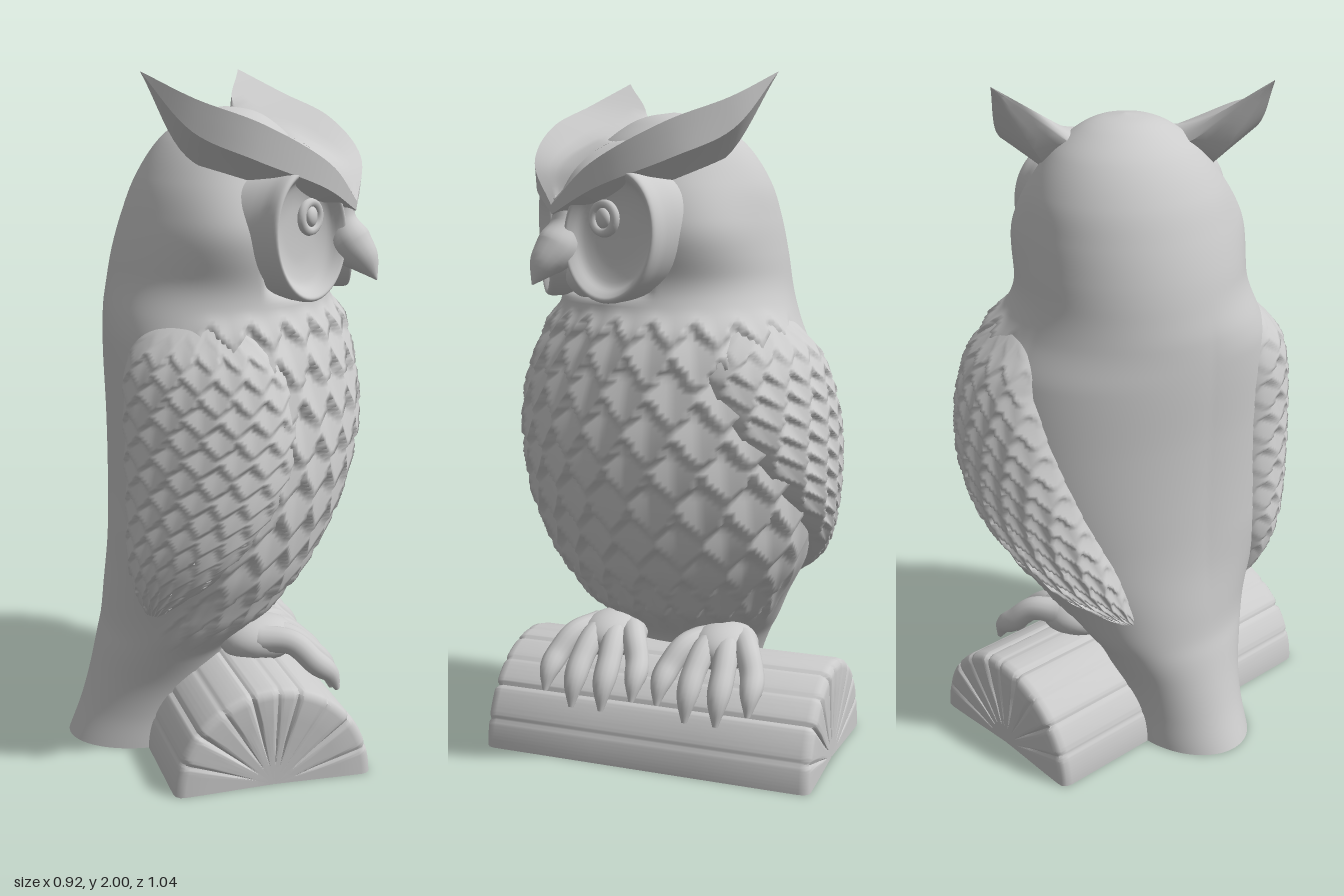
import * as THREE from 'three';
import { mergeVertices, toCreasedNormals } from 'three/addons/utils/BufferGeometryUtils.js';

const { smoothstep, lerp, clamp } = THREE.MathUtils;
const RAD = Math.PI / 180;
const grey = new THREE.MeshStandardMaterial({ color: 0xcccccc });
const greyDouble = new THREE.MeshStandardMaterial({ color: 0xcccccc, side: THREE.DoubleSide });

// Body rings: height, back x, front x, half width
const RINGS = [
  [0, -0.46, 0, 0.175], [0.1, -0.42, 0, 0.18], [0.2, -0.39, 0.015, 0.2], [0.3, -0.365, 0.04, 0.24],
  [0.36, -0.35, 0.09, 0.275], [0.45, -0.34, 0.18, 0.32], [0.6, -0.325, 0.3, 0.4], [0.8, -0.32, 0.39, 0.45],
  [1.0, -0.322, 0.425, 0.455], [1.2, -0.33, 0.405, 0.42], [1.32, -0.328, 0.37, 0.37], [1.4, -0.315, 0.34, 0.345],
  [1.5, -0.295, 0.325, 0.33], [1.6, -0.265, 0.31, 0.312], [1.7, -0.225, 0.29, 0.283], [1.8, -0.16, 0.235, 0.22],
  [1.86, -0.09, 0.17, 0.145], [1.89, -0.03, 0.11, 0.075], [1.9, 0.039, 0.041, 0.001],
];
// Wing outline: height, front angle, back angle (degrees round the body)
const WING = [
  [0.43, 128, 134], [0.6, 104, 150], [0.8, 85, 156], [1.0, 77, 158], [1.2, 80, 154], [1.3, 92, 142], [1.345, 106, 122],
];
// The head is turned: its own frame is x sideways, z forward
const HEAD = { x: 0.04, z: 0.02, turn: 0.94 };

// Smooth lookup in a table whose first column is the key
function sample(table, y) {
  const last = table.length - 1;
  let i = 0;
  while (i < last - 1 && y > table[i + 1][0]) i++;
  const slope = (k, c) => {
    const a = table[Math.max(k - 1, 0)], b = table[Math.min(k + 1, last)];
    return (b[c] - a[c]) / (b[0] - a[0]);
  };
  const p = table[i], q = table[i + 1], d = q[0] - p[0], t = (y - p[0]) / d;
  const h = t * t * (3 - 2 * t);
  return p.slice(1).map((v, k) => v * (1 - h) + q[k + 1] * h
    + d * t * (1 - t) * ((1 - t) * slope(i, k + 1) - t * slope(i + 1, k + 1)));
}

// Overlapping feathers: 0 at the root, 1 at the pointed lower edge
function feather(a, b) {
  for (let k = Math.floor(b) - 1; ; k++) {
    const s = a + (k & 1) * 0.5;
    const off = Math.abs(s - Math.round(s)) * 2;
    const edge = k + 1.35 - 0.65 * Math.pow(off, 1.35);
    if (b < edge) return Math.max(0, 1 - (edge - b) / 1.2);
  }
}

// Point on the body, pushed outward by a distance; the shoulders are twisted a little with the head
function onBody(angle, y, out = 0) {
  const [back, front, rz] = sample(RINGS, y);
  const rx = (front - back) / 2, c = Math.cos(angle), s = Math.sin(angle);
  const n = new THREE.Vector3(c / rx, 0, s / rz).normalize();
  const twist = -0.064 * s * c * smoothstep(y, 0.35, 0.7) * (1 - smoothstep(y, 1.25, 1.45));
  const reach = out + twist * (c < 0 && s < 0 ? 0.3 : 1);
  return new THREE.Vector3((back + front) / 2 + rx * c, y, rz * s).addScaledVector(n, reach);
}

function finish(geo) {
  geo.deleteAttribute('uv');
  geo.deleteAttribute('normal');
  const g = mergeVertices(geo, 1e-5);
  g.computeVertexNormals();
  return g;
}

// Surface from a rule, u and v in 0..1
function grid(rule, nu, nv) {
  const pos = [], idx = [];
  for (let j = 0; j <= nv; j++) for (let i = 0; i <= nu; i++) pos.push(...rule(i / nu, j / nv).toArray());
  for (let j = 0; j < nv; j++) for (let i = 0; i < nu; i++) {
    const a = j * (nu + 1) + i, b = a + nu + 1;
    idx.push(a, b, a + 1, a + 1, b, b + 1);
  }
  const g = new THREE.BufferGeometry();
  g.setAttribute('position', new THREE.Float32BufferAttribute(pos, 3));
  g.setIndex(idx);
  return finish(g);
}

// Tube through points with a radius at each point
function taper(points, radii, n = 24, sides = 14) {
  const curve = new THREE.CatmullRomCurve3(points.map(p => new THREE.Vector3(...p)));
  const table = radii.map((r, i) => [i / (radii.length - 1), r]);
  const g = new THREE.TubeGeometry(curve, n, 1, sides);
  const p = g.attributes.position, v = new THREE.Vector3();
  for (let i = 0; i < p.count; i++) {
    const t = Math.floor(i / (sides + 1)) / n, c = curve.getPointAt(t);
    v.fromBufferAttribute(p, i).sub(c).multiplyScalar(Math.max(0.001, sample(table, t)[0])).add(c);
    p.setXYZ(i, v.x, v.y, v.z);
  }
  return finish(g);
}

function add(parent, name, geo, mat = grey) {
  const m = new THREE.Mesh(geo, mat);
  m.name = name;
  parent.add(m);
  return m;
}

function blob(parent, name, pos, size) {
  const m = add(parent, name, new THREE.SphereGeometry(1, 28, 18));
  m.position.set(...pos);
  m.scale.set(...size);
}

// Tail, trunk and head in one skin, with chest feathers, full cheeks and a flattened face
function bodyGeometry() {
  const fx = Math.sin(HEAD.turn), fz = Math.cos(HEAD.turn), facing = Math.atan2(fz, fx);
  return grid((u, v) => {
    const a = u * 2 * Math.PI, y = 1.9 * (1 - Math.pow(1 - v, 1.25));
    const mask = smoothstep(Math.cos(a - 22 * RAD), -0.25, 0.25) * smoothstep(y, 0.33, 0.45) * (1 - smoothstep(y, 1.29, 1.36));
    const side = Math.acos(Math.cos(a - facing));
    const cheek = 0.05 * Math.exp(-(((y - 1.57) / 0.13) ** 2) - ((side - 1.1) / 0.5) ** 2);
    const p = onBody(a, y, cheek + (mask ? mask * 0.034 * feather(u * 21, (1.4 - y) / 0.107) : 0));
    const w = smoothstep(y, 1.37, 1.43) * (1 - smoothstep(y, 1.68, 1.76));
    const over = Math.max(0, (p.x - HEAD.x) * fx + (p.z - HEAD.z) * fz - 0.2) * w;
    return p.add(new THREE.Vector3(-fx * over, 0, -fz * over));
  }, 210, 170);
}

// Folded wing; the right one sits further forward at the shoulder
function wingGeometry(side) {
  return grid((u, v) => {
    const y = lerp(0.43, 1.345, v);
    let [lo, hi] = sample(WING, y);
    if (side < 0) {
      const shift = 52 * clamp((y - 0.43) / 0.75, 0, 1);
      [lo, hi] = [shift - hi, shift - lo];
    }
    const s = 2 * u - 1;
    const edge = (1 - Math.pow(s, 6)) * (1 - Math.pow(2 * v - 1, 6));
    const scale = feather(s * 3.5, (1 - v) * 16) * (1 - smoothstep(v, 0.86, 0.97));
    return onBody(lerp(lo, hi, u) * RAD, y, -0.02 + edge * (0.062 + 0.02 * scale));
  }, 64, 120);
}

// Brow and ear tuft: raised rim, inner edge, forehead, hidden underside and lower rim
function tuftGeometry(side) {
  const rails = [
    [[0, 1.64, 0.39], [0.16, 1.755, 0.355], [0.31, 1.865, 0.21], [0.375, 1.93, 0.045], [0.388, 2, -0.106]],
    [[0, 1.66, 0.375], [0.08, 1.745, 0.325], [0.17, 1.82, 0.16], [0.225, 1.895, -0.06], [0.386, 2, -0.108]],
    [[0, 1.655, 0.37], [0, 1.745, 0.305], [0, 1.815, 0.19], [0.12, 1.8, -0.03], [0.385, 1.998, -0.108]],
    [[0, 1.6, 0.3], [0.12, 1.65, 0.24], [0.22, 1.7, 0.12], [0.25, 1.77, -0.03], [0.386, 1.998, -0.107]],
    [[0, 1.615, 0.388], [0.17, 1.69, 0.345], [0.32, 1.77, 0.195], [0.375, 1.845, 0.035], [0.388, 1.998, -0.106]],
  ].map(r => new THREE.CatmullRomCurve3(r.map(([x, y, z]) => new THREE.Vector3(x * side, y, z))));
  const g = grid((u, v) => {
    const k = Math.round(u * 15), i = Math.floor(k / 3);
    return rails[i % 5].getPoint(v).lerp(rails[(i + 1) % 5].getPoint(v), (k % 3) / 3);
  }, 15, 32);
  return toCreasedNormals(g, 0.8);
}

// Eye dish with a rolled rim and a skirt leaning straight back into the head
function dishGeometry(side) {
  const profile = [[0.86, -0.34], [0.95, -0.18], [0.99, -0.06], [1, -0.02], [0.98, -0.004], [0.93, 0], [0.86, -0.012],
    [0.74, -0.036], [0.5, -0.05], [0.25, -0.054], [0.001, -0.055]];
  const curve = new THREE.SplineCurve(profile.map(p => new THREE.Vector2(...p)));
  const g = new THREE.LatheGeometry(curve.getPoints(36), 56).rotateX(Math.PI / 2).scale(0.157, 0.19, 1);
  const p = g.attributes.position;
  for (let i = 0; i < p.count; i++) {
    const back = Math.max(0, -p.getZ(i) - 0.06);
    p.setX(i, p.getX(i) + side * 0.33 * back);
  }
  return finish(g);
}

function buildHead() {
  const head = new THREE.Group();
  head.name = 'head';
  head.position.set(HEAD.x, 0, HEAD.z);
  head.rotation.y = HEAD.turn;
  for (const s of [1, -1]) {
    const disc = add(head, 'facialDisc', dishGeometry(s), greyDouble);
    disc.position.set(s * 0.18, 1.56, 0.315);
    disc.rotation.set(0, s * 0.38, -s * 0.25, 'YXZ');
    blob(head, 'eye', [s * 0.115, 1.605, 0.288], [0.03, 0.03, 0.018]);
    const ring = add(head, 'eyeRing', new THREE.TorusGeometry(0.04, 0.014, 10, 32));
    ring.position.set(s * 0.115, 1.605, 0.286);
    ring.rotation.y = s * 0.35;
    add(head, 'earTuft', tuftGeometry(s), greyDouble);
  }
  add(head, 'beak', taper(
    [[0, 1.66, 0.35], [0, 1.59, 0.345], [0, 1.525, 0.37], [0, 1.475, 0.415], [0, 1.42, 0.453]],
    [0.03, 0.042, 0.062, 0.045, 0.002]));
  blob(head, 'chin', [0, 1.44, 0.22], [0.12, 0.08, 0.11]);
  return head;
}

// Half log as one skin: bark grooves along the side, cracks fanning out on both ends
function buildLog() {
  const log = new THREE.Group();
  log.name = 'log';
  log.position.z = -0.005;
  const cracks = [17, 38, 56, 75, 88, 104, 122, 141, 160];
  const path = [[0.002, 0.5], [0.06, 0.502], [0.13, 0.505], [0.2, 0.508], [0.265, 0.51], [0.28, 0.508], [0.291, 0.498],
    [0.295, 0.48], [0.295, 0.16]];
  const outline = [...path.map(([r, z]) => [r, -z]), ...path.slice().reverse()];
  const skin = grid((u, v) => {
    const a = u * 180, [r, z] = outline[Math.round(v * (outline.length - 1))];
    const depth = cracks.reduce((sum, c, i) => sum + (0.5 + 0.5 * (i % 2)) * Math.exp(-(((a - c) / 1.5) ** 2)), 0);
    const onEnd = Math.abs(z) > 0.495 && r > 0.1 ? 0.011 : 0;
    const rr = r - (r > 0.28 ? 0.006 * depth : 0);
    return new THREE.Vector3(0.045 + rr * Math.cos(a * RAD), rr * Math.sin(a * RAD), z - Math.sign(z) * onEnd * depth);
  }, 180, outline.length - 1);
  add(log, 'logSkin', toCreasedNormals(skin, 0.7), greyDouble);
  const base = add(log, 'logBase', new THREE.PlaneGeometry(0.59, 1.01).rotateX(Math.PI / 2));
  base.position.x = 0.045;
  return log;
}

function buildFoot(z) {
  const foot = new THREE.Group();
  foot.name = 'foot';
  foot.position.z = z;
  blob(foot, 'footPad', [0.09, 0.325, 0], [0.12, 0.072, 0.1]);
  // The outer toes are shorter than the middle ones
  for (const [d, short] of [[-0.132, 1], [-0.045, 0], [0.045, 0], [0.132, 1]]) {
    add(foot, 'toe', taper(
      [[0.08, 0.34, d * 0.4], [0.17, 0.335, d * 0.75], [0.245 - short * 0.015, 0.28, d],
        [0.295 - short * 0.02, 0.222 + short * 0.02, d * 1.05], [0.315 - short * 0.015, 0.155 + short * 0.035, d * 1.06]],
      [0.045, 0.038, 0.036, 0.033, 0.008]));
  }
  return foot;
}

export function createModel() {
  const owl = new THREE.Group();
  owl.name = 'owl';
  add(owl, 'body', bodyGeometry());
  // Underside of the tail
  const tailEnd = add(owl, 'tailEnd', new THREE.CircleGeometry(1, 40).rotateX(Math.PI / 2));
  tailEnd.scale.set(0.23, 1, 0.175);
  tailEnd.position.set(-0.23, 0, 0);
  add(owl, 'leftWing', wingGeometry(1), greyDouble);
  add(owl, 'rightWing', wingGeometry(-1), greyDouble);
  owl.add(buildHead(), buildLog(), buildFoot(0.18), buildFoot(-0.18));
  return owl;
}
